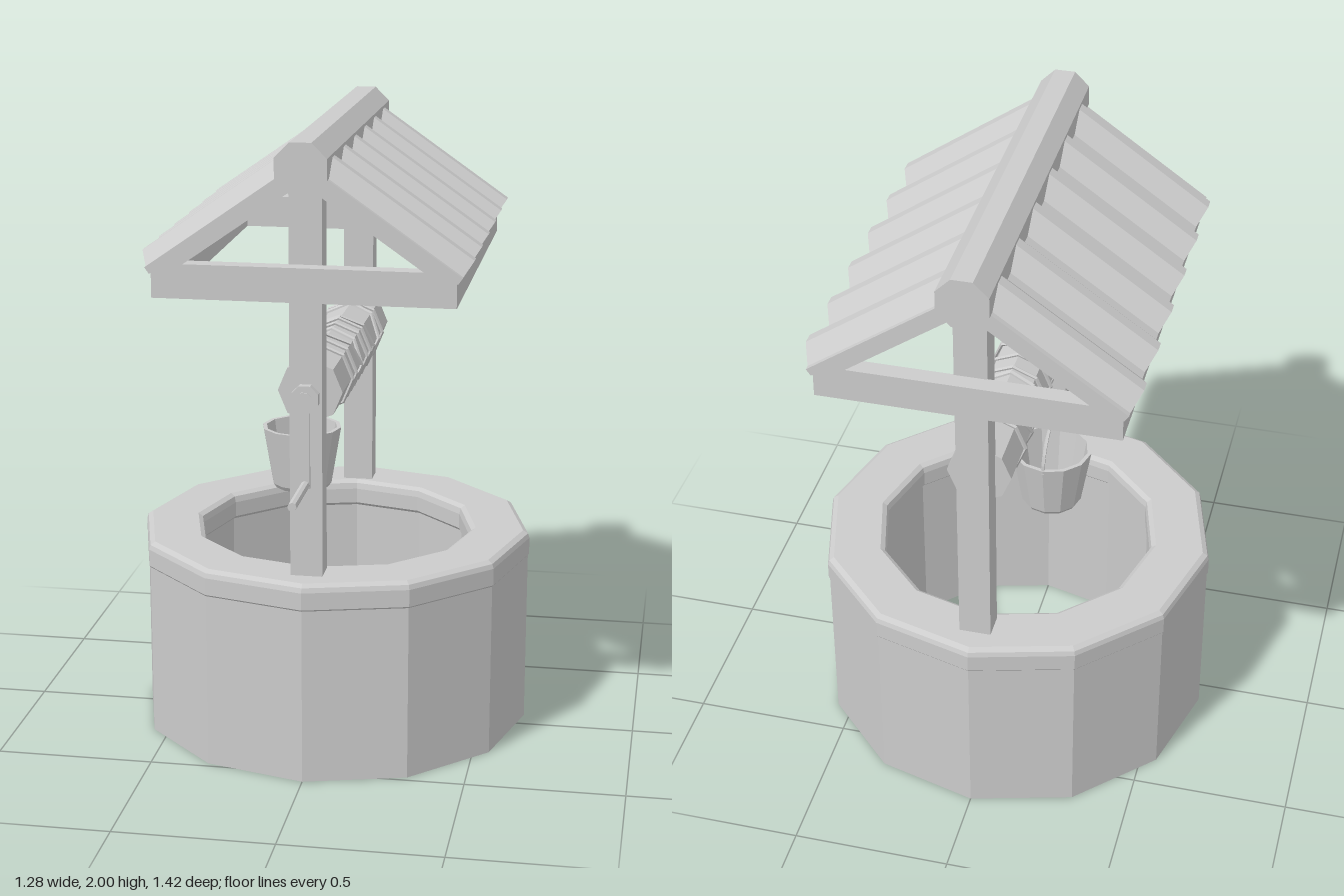
import * as THREE from 'three';

const MID = -0.072; // z of the well's own axis

export function createModel() {
  const model = new THREE.Group();
  const mat = new THREE.MeshStandardMaterial({ color: 0xcccccc, flatShading: true, side: THREE.DoubleSide });

  const add = (name, geo, x = 0, y = 0, z = 0) => {
    const mesh = new THREE.Mesh(geo, mat);
    mesh.name = name;
    mesh.position.set(x, y, z);
    model.add(mesh);
    return mesh;
  };
  const box = (name, w, h, d, x, y, z) => add(name, new THREE.BoxGeometry(w, h, d), x, y, z);
  const lathe = (pts, sides) => new THREE.LatheGeometry(pts.map(p => new THREE.Vector2(...p)), sides);
  // Prism lying along z; turn sets the angle of its first corner
  const prism = (r, len, sides, turn = 0) =>
    new THREE.CylinderGeometry(r, r, len, sides).rotateX(Math.PI / 2).rotateZ(turn);

  // Stone ring and its bevelled rim
  add('wellWall', lathe([[0.455, 0.57], [0.455, 0], [0.637, 0], [0.637, 0.57]], 12), 0, 0, MID);
  add('wellRim', lathe([[0.455, 0.56], [0.633, 0.56], [0.641, 0.57], [0.641, 0.625], [0.636, 0.64],
    [0.62, 0.65], [0.465, 0.65], [0.45, 0.64], [0.445, 0.62], [0.445, 0.57], [0.455, 0.56]], 12), 0, 0, MID);

  // Roof frame
  const slope = Math.atan2(0.3, 0.43);
  for (const s of [1, -1]) {
    box('post', 0.1, 1.27, 0.08, 0, 1.275, MID + s * 0.51);
    box('crossBeam', 0.915, 0.105, 0.055, 0, 1.573, MID + s * 0.575);
    box('eaveBeam', 0.055, 0.08, 1.2, s * 0.43, 1.56, MID);
    for (const e of [1, -1]) {
      const rafter = box('rafter', 0.46, 0.04, 0.055, s * 0.225, 1.744, MID + e * 0.575);
      rafter.rotation.z = -s * slope;
    }
  }
  add('ridgeBeam', prism(0.0845, 1.253, 8, Math.PI / 8), 0, 1.922, MID);

  // Corrugated roof sheets: trapezoid waves extruded up the slope
  const period = 0.2035, depth = 0.044, thick = 0.024;
  const wave = [];
  for (let i = 0; i < 6; i++) {
    const u = (i - 3) * period;
    wave.push([u, 0], [u + 0.017, 0], [u + 0.083, depth], [u + 0.1205, depth], [u + 0.1865, 0]);
  }
  wave.push([3 * period, 0]);
  const outline = [
    ...wave.map(([u, v]) => new THREE.Vector2(u, v - depth)),
    ...wave.slice().reverse().map(([u, v]) => new THREE.Vector2(u, v - depth - thick)),
  ];
  const sheet = new THREE.ExtrudeGeometry(new THREE.Shape(outline), { depth: 0.545, bevelEnabled: false });
  sheet.applyMatrix4(new THREE.Matrix4().makeBasis(
    new THREE.Vector3(0, 0, 1),
    new THREE.Vector3(Math.sin(slope), Math.cos(slope), 0),
    new THREE.Vector3(-Math.cos(slope), Math.sin(slope), 0)));
  sheet.translate(0.5, 1.65, 0);
  add('roofLeft', sheet, 0, 0, MID);
  add('roofRight', sheet, 0, 0, MID).rotation.y = Math.PI;

  // Windlass drum with straight and slanted turns of rope
  const axleY = 1.218;
  add('windlassDrum', prism(0.1, 0.95, 8, Math.PI / 2), 0, axleY, MID);
  const turns = [[0.235, 0], [0.16, 0], [0.056, 0.42], [0.056, -0.42], [-0.058, 0], [-0.128, 0],
    [-0.2, 0.42], [-0.305, -0.5], [-0.39, 0]];
  for (const [z, lean] of turns) {
    const coil = new THREE.TorusGeometry(0.104, 0.007, 5, 8);
    const p = coil.attributes.position;
    for (let i = 0; i < p.count; i++) p.setZ(i, p.getZ(i) + lean * p.getY(i));
    coil.computeVertexNormals();
    add('ropeTurn', coil, 0, axleY, z);
  }

  // Crank
  add('crankHub', prism(0.045, 0.03, 8, Math.PI / 8), 0, axleY, 0.488);
  add('crankPin', prism(0.024, 0.04, 8, Math.PI / 8), 0, axleY, 0.488);
  box('crankArm', 0.028, 0.29, 0.012, 0, 1.08, 0.489);
  add('crankHandle', prism(0.014, 0.227, 8), 0, 0.947, 0.5985);

  // Hanging rope, hook and bucket
  const bx = -0.11, bz = -0.058;
  add('hangingRope', new THREE.CylinderGeometry(0.005, 0.005, 0.12, 6), -0.104, 1.16, bz);
  add('hook', new THREE.TorusGeometry(0.014, 0.005, 5, 8), bx, 1.09, bz);
  add('bucket', lathe([[0, 0.772], [0.088, 0.772], [0.098, 0.786], [0.13, 0.975], [0.117, 0.975],
    [0.088, 0.79], [0, 0.79]], 12), bx, 0, bz);
  const arc = [];
  for (let i = 0; i <= 10; i++) {
    const a = Math.PI * i / 10;
    arc.push(new THREE.Vector3(0, 0.96 + 0.12 * Math.sin(a), 0.124 * Math.cos(a)));
  }
  add('bucketHandle', new THREE.TubeGeometry(new THREE.CatmullRomCurve3(arc), 12, 0.006, 5), bx, 0, bz);
  add('bucketGrip', prism(0.011, 0.07, 6), bx, 1.079, bz);
  return model;
}
